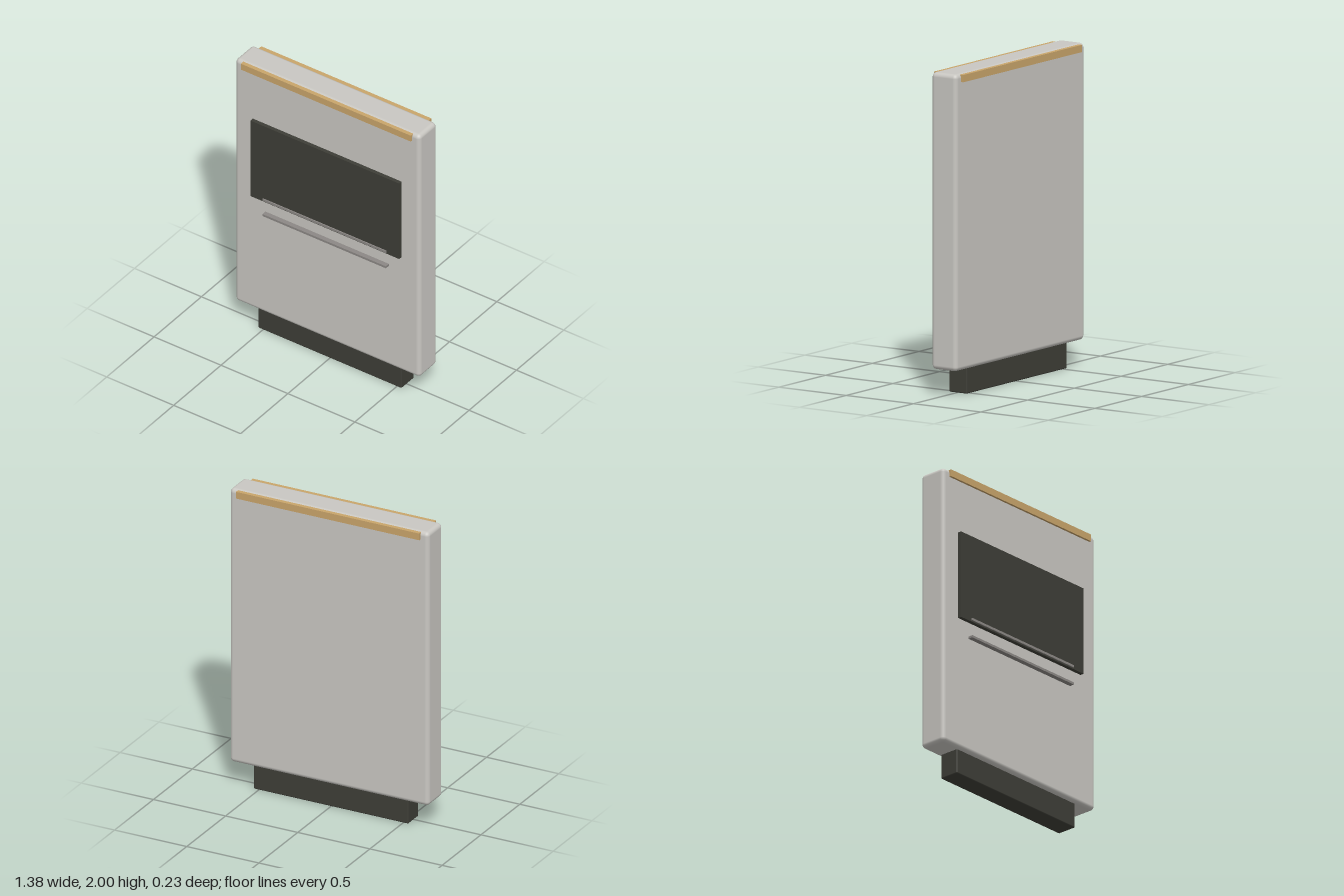
import * as THREE from 'three';
import { RoundedBoxGeometry } from 'three/addons/geometries/RoundedBoxGeometry.js';

function material(name, color) {
  const m = new THREE.MeshStandardMaterial({ color });
  m.name = name;
  return m;
}

export function createModel() {
  const shell = material('light grey shell', 0xc9c7c2);
  const charcoal = material('charcoal', 0x3e3e37);
  const tan = material('tan trim', 0xc9a56b);
  const grey = material('mid grey', 0x8c8885);

  const model = new THREE.Group();
  model.name = 'slabKiosk';

  // Box given by half width and its y and z ranges; radius rounds the edges.
  function addBox(name, mat, halfWidth, [y0, y1], [z0, z1], radius = 0) {
    const size = [halfWidth * 2, y1 - y0, z1 - z0];
    const geometry = radius
      ? new RoundedBoxGeometry(...size, 4, radius)
      : new THREE.BoxGeometry(...size);
    const mesh = new THREE.Mesh(geometry, mat);
    mesh.name = name;
    mesh.position.set(0, (y0 + y1) / 2, (z0 + z1) / 2);
    model.add(mesh);
  }

  // Upright slab on a narrower plinth
  addBox('body', shell, 0.69, [0.16, 2], [-0.101, 0.085], 0.027);
  addBox('plinth', charcoal, 0.536, [0, 0.17], [-0.074, 0.058], 0.008);

  // Trim band runs through the slab and stands proud at front and back
  addBox('topTrim', tan, 0.635, [1.95, 1.995], [-0.117, 0.1]);

  // Front display panel and two thin rails
  addBox('displayPanel', charcoal, 0.556, [1.027, 1.602], [0.08, 0.11]);
  for (const [name, y] of [['upperRail', 1.043], ['lowerRail', 0.927]]) {
    addBox(name, grey, 0.461, [y - 0.0075, y + 0.0075], [0.084, 0.117]);
  }

  return model;
}
